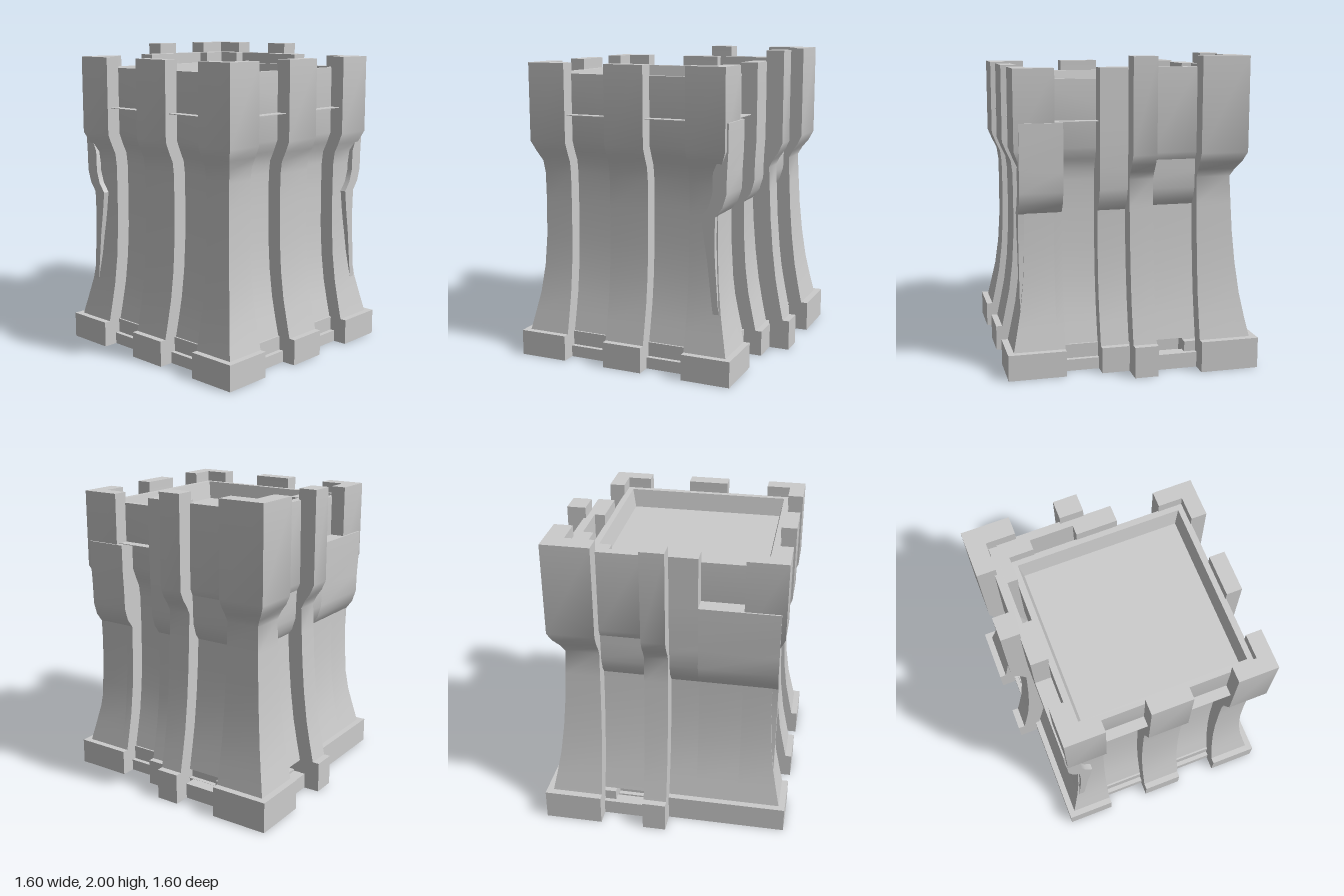
import * as THREE from 'three';
import { toCreasedNormals } from 'three/addons/utils/BufferGeometryUtils.js';

const stone = new THREE.MeshStandardMaterial({ color: 0xcccccc, side: THREE.DoubleSide });

// Signed area of an x/z polygon
const area = (p) => p.reduce((s, a, i) => {
  const b = p[(i + 1) % p.length];
  return s + a[0] * b[1] - b[0] * a[1];
}, 0);

// Solid through horizontal polygons, one [y, polygon] per level; open below if it stands on the ground
function loft(levels) {
  const pos = [];
  const rings = levels.map(([y, poly]) => {
    const p = area(poly) < 0 ? [...poly].reverse() : poly;
    return p.map(([x, z]) => [x, y, z]);
  });
  const n = rings[0].length;
  for (let l = 0; l + 1 < rings.length; l++) {
    const lo = rings[l], hi = rings[l + 1];
    for (let i = 0; i < n; i++) {
      const j = (i + 1) % n;
      pos.push(...lo[i], ...hi[i], ...lo[j], ...lo[j], ...hi[i], ...hi[j]);
    }
  }
  const caps = [[rings.at(-1), true]];
  if (levels[0][0] > 0) caps.push([rings[0], false]);
  for (const [ring, up] of caps) {
    const flat = ring.map((p) => new THREE.Vector2(p[0], p[2]));
    for (const t of THREE.ShapeUtils.triangulateShape(flat, [])) {
      const tri = t.map((i) => ring[i]);
      const facesDown = area(tri.map((p) => [p[0], p[2]])) > 0;
      if (facesDown === up) tri.reverse();
      pos.push(...tri.flat());
    }
  }
  const g = new THREE.BufferGeometry();
  g.setAttribute('position', new THREE.Float32BufferAttribute(pos, 3));
  return g;
}

// Add a part, turned by quarter turns (0 front, 1 +x, 2 back, 3 -x)
function add(group, name, geometry, turn = 0) {
  const mesh = new THREE.Mesh(toCreasedNormals(geometry, 0.6), stone);
  mesh.name = name;
  mesh.rotation.y = turn * Math.PI / 2;
  group.add(mesh);
}

// Straight wall strip from u0 to u1; levels are [r, y] or [r, y, own depth]
const strip = (profile, u0, u1, depth) => loft(profile.map(([r, y, d = depth]) =>
  [y, [[u0, r], [u1, r], [u1, r - d], [u0, r - d]]]));

// Mitred L-shaped corner; c is where both arms end
const corner = (profile, c, depth) => loft(profile.map(([r, y]) => {
  const i = r - depth;
  return [y, [[r, r], [c, r], [c, i], [i, i], [i, c], [r, c]]];
}));

const block = (r, h) => [[r, 0], [r, h]];

const mainProfile = [[0.693, 0.16], [0.665, 0.29], [0.638, 0.42], [0.615, 0.6], [0.603, 0.8],
  [0.6, 1.03], [0.602, 1.22], [0.612, 1.3], [0.64, 1.36], [0.668, 1.43], [0.668, 1.93]];
const outerProfile = [[0.757, 0.19], [0.728, 0.33], [0.7, 0.48], [0.675, 0.68], [0.658, 0.88],
  [0.648, 1.07], [0.64, 1.24], [0.665, 1.29], [0.7, 1.34], [0.727, 1.4], [0.727, 2.0]];
// Low bays stop at the shelf height
const lowBayProfile = [...mainProfile.slice(0, -1), [0.668, 1.6]];
// Recessed wall in the open bays of the outer wall
const recessProfile = [...outerProfile.slice(0, -1).map(([r, y]) => [r - 0.1, y]), [0.622, 1.93]];
// Wall behind the outer pillars
const lowBacking = [[0.59, 0.19, 0.04], [0.55, 0.48, 0.04], [0.53, 0.75, 0.05], [0.526, 0.9, 0.07],
  [0.53, 1.03, 0.09], [0.575, 1.09, 0.09], [0.6, 1.17, 0.09], [0.603, 1.3, 0.09],
  [0.61, 1.42, 0.045], [0.612, 1.6, 0.045]];
const highBacking = [...lowBacking, [0.612, 1.93, 0.045]];

// Hollow square keep with recessed roof
function keep() {
  const d = 0.095;
  const pts = [[0, 1.7], [0.46, 1.7], [0.46, 0.9], [0.5, 0.45], [0.585, 0.12], [0.585, 0], [0.61, 0], [0.61, 0.167]];
  for (const [r, y] of mainProfile.slice(0, -1)) pts.push([r - d, Math.max(y, 0.167)]);
  pts.push([0.573, 1.86], [0.533, 1.86], [0.51, 1.74], [0, 1.74]);
  const g = new THREE.LatheGeometry(pts.map(([r, y]) => new THREE.Vector2(r * Math.SQRT2, y)), 4);
  return g.rotateY(Math.PI / 4);
}

export function createModel() {
  const model = new THREE.Group();
  model.name = 'castleTower';

  // Main tower
  const tower = new THREE.Group();
  tower.name = 'mainTower';
  tower.position.set(0.067, 0, 0.067);
  model.add(tower);
  add(tower, 'keep', keep());

  const c = 0.413, m = 0.133;
  for (let k = 0; k < 4; k++) {
    add(tower, 'cornerPillar', corner(mainProfile, c, 0.1), k);
    add(tower, 'cornerFoot', corner(block(0.733, 0.167), c, 0.13), k);
    add(tower, 'middlePillar', strip(mainProfile, -m, m, 0.1), k);
    add(tower, 'middleFoot', strip(block(0.733, 0.167), -m, m, 0.13), k);
    for (const [u0, u1] of [[-c, -m], [m, c]]) {
      add(tower, 'footStep', strip(block(0.64, 0.075), u0, u1, 0.04), k);
      // Thin shelves between the open pillars
      if (k < 2 || (k === 2 && u0 < 0)) {
        add(tower, 'shelf', strip([[0.64, 1.6], [0.64, 1.604]], u0, u1, 0.08), k);
      }
    }
  }

  // Bays filled up to shelf height on the back and the -x side
  for (const [u0, u1, k] of [[m, c, 3], [-c, -0.363, 2]]) {
    add(tower, 'bayFill', strip(lowBayProfile, u0, u1, 0.1), k);
    add(tower, 'bayFoot', strip(block(0.733, 0.167), u0, u1, 0.13), k);
  }

  // Taller outer wall around the back corner
  const outer = new THREE.Group();
  outer.name = 'outerWall';
  model.add(outer);
  add(outer, 'outerCorner', corner(outerProfile, 0.42, 0.12), 2);
  add(outer, 'outerCornerFoot', corner(block(0.8, 0.2), 0.42, 0.14), 2);
  for (const [u0, u1, k] of [[-0.02, 0.133, 2], [-0.133, 0.02, 3]]) {
    add(outer, 'outerPillar', strip(outerProfile, u0, u1, 0.12), k);
    add(outer, 'outerFoot', strip(block(0.8, 0.2), u0, u1, 0.14), k);
  }
  for (const [u0, u1, k] of [[0.13, 0.42, 2], [-0.42, -0.13, 3]]) {
    add(outer, 'outerFootStep', strip(block(0.695, 0.1), u0, u1, 0.08), k);
    add(outer, 'outerRecess', strip(recessProfile, u0, u1, 0.05), k);
  }
  // Backing walls behind the outer pillars
  for (const [profile, u0, u1, k] of [
    [highBacking, -0.2, 0.55, 2], [lowBacking, -0.705, -0.43, 2],
    [highBacking, -0.55, 0.2, 3], [lowBacking, 0.2, 0.705, 3],
  ]) {
    add(outer, 'backingWall', strip(profile, u0, u1), k);
  }
  return model;
}
